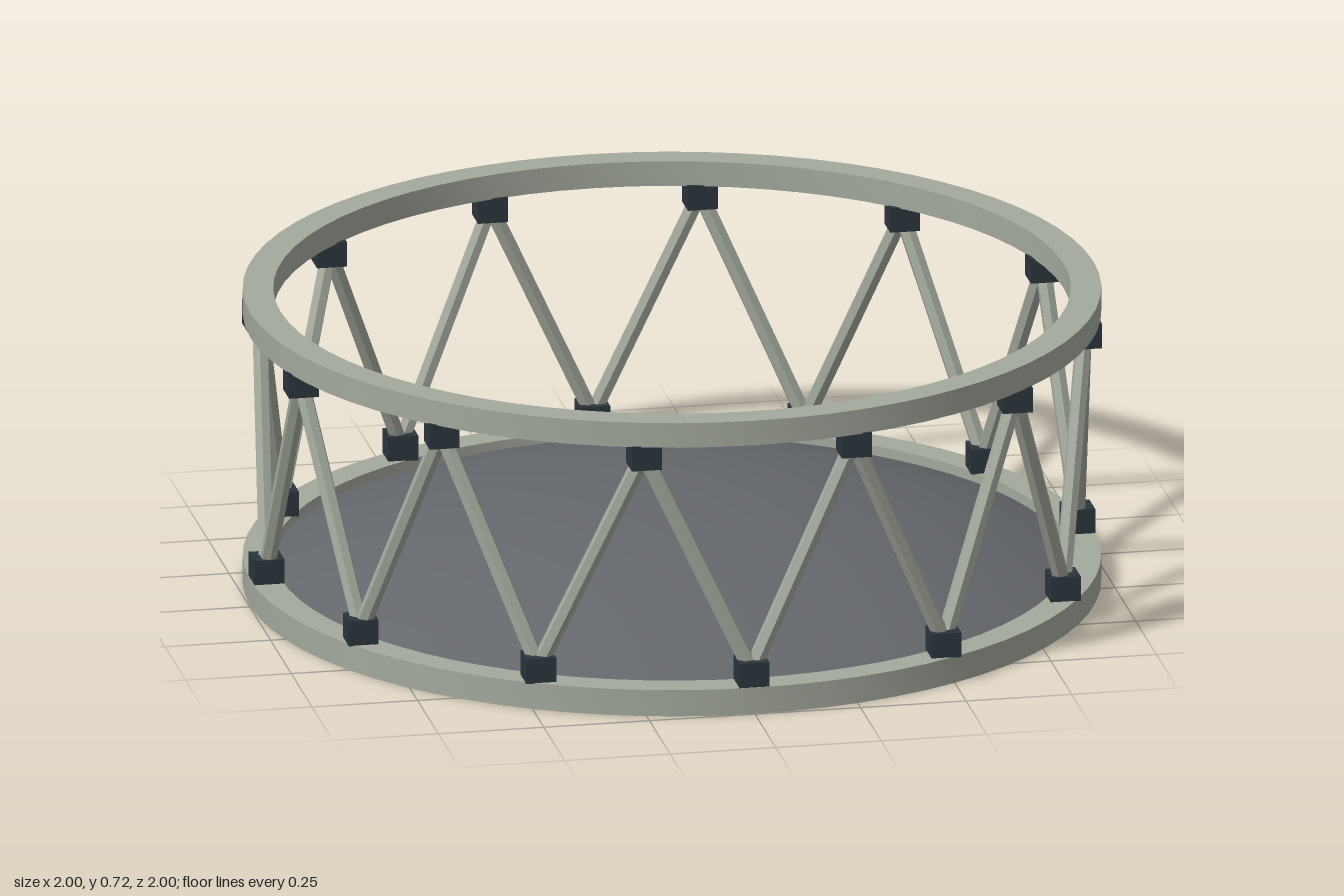
import * as THREE from 'three';
import { toCreasedNormals } from 'three/addons/utils/BufferGeometryUtils.js';

const metal = new THREE.MeshStandardMaterial({ name: 'greyMetal', color: 0xa3a99d });
const joint = new THREE.MeshStandardMaterial({ name: 'darkJoint', color: 0x2b343c });
const panel = new THREE.MeshStandardMaterial({ name: 'slatePanel', color: 0x64676b, side: THREE.DoubleSide });
const strutMetal = metal.clone();
strutMetal.flatShading = true;

const NODES = 12, RADIUS = 0.96, LOW = 0.093, HIGH = 0.63;

function add(parent, name, geometry, material) {
  const mesh = new THREE.Mesh(geometry, material);
  mesh.name = name;
  parent.add(mesh);
  return mesh;
}

// Flat hoop with a rectangular section
function hoop(y0, y1) {
  const section = [[0.998, y0], [0.998, y1], [0.927, y1], [0.927, y0], [0.998, y0]];
  const geometry = new THREE.LatheGeometry(section.map(([r, y]) => new THREE.Vector2(r, y)), 72);
  return toCreasedNormals(geometry, Math.PI / 6);
}

// Joint position; step counts half bays around the circle
function nodeAt(step, y) {
  const a = step * Math.PI / NODES;
  return new THREE.Vector3(RADIUS * Math.sin(a), y, RADIUS * Math.cos(a));
}

function addStrut(parent, from, to) {
  const dir = to.clone().sub(from);
  const mesh = add(parent, 'strut', new THREE.CylinderGeometry(0.02, 0.02, dir.length(), 6), strutMetal);
  mesh.position.copy(from).add(to).multiplyScalar(0.5);
  mesh.quaternion.setFromUnitVectors(new THREE.Vector3(0, 1, 0), dir.normalize());
}

export function createModel() {
  const model = new THREE.Group();
  model.name = 'ringTruss';

  add(model, 'lowerRing', hoop(0, 0.064), metal);
  add(model, 'upperRing', hoop(0.658, 0.718), metal);

  // Shallow domed floor inside the lower ring
  const arc = [];
  for (let i = 0; i <= 10; i++) {
    const r = 0.93 * (1 - i / 10);
    arc.push(new THREE.Vector2(r, 0.225 - 0.205 * r * r - 0.012 * r ** 4));
  }
  add(model, 'domeFloor', new THREE.LatheGeometry(arc, 72), panel);

  // Zigzag of struts between alternating lower and upper joints
  const truss = new THREE.Group();
  truss.name = 'truss';
  model.add(truss);
  const block = new THREE.BoxGeometry(0.071, 0.06, 0.071);
  for (let i = 0; i < NODES * 2; i++) {
    const upper = i % 2 === 1;
    const here = nodeAt(i, upper ? HIGH : LOW);
    const next = nodeAt(i + 1, upper ? LOW : HIGH);
    add(truss, upper ? 'upperJoint' : 'lowerJoint', block, joint).position.copy(here);
    addStrut(truss, here, next);
  }
  return model;
}
